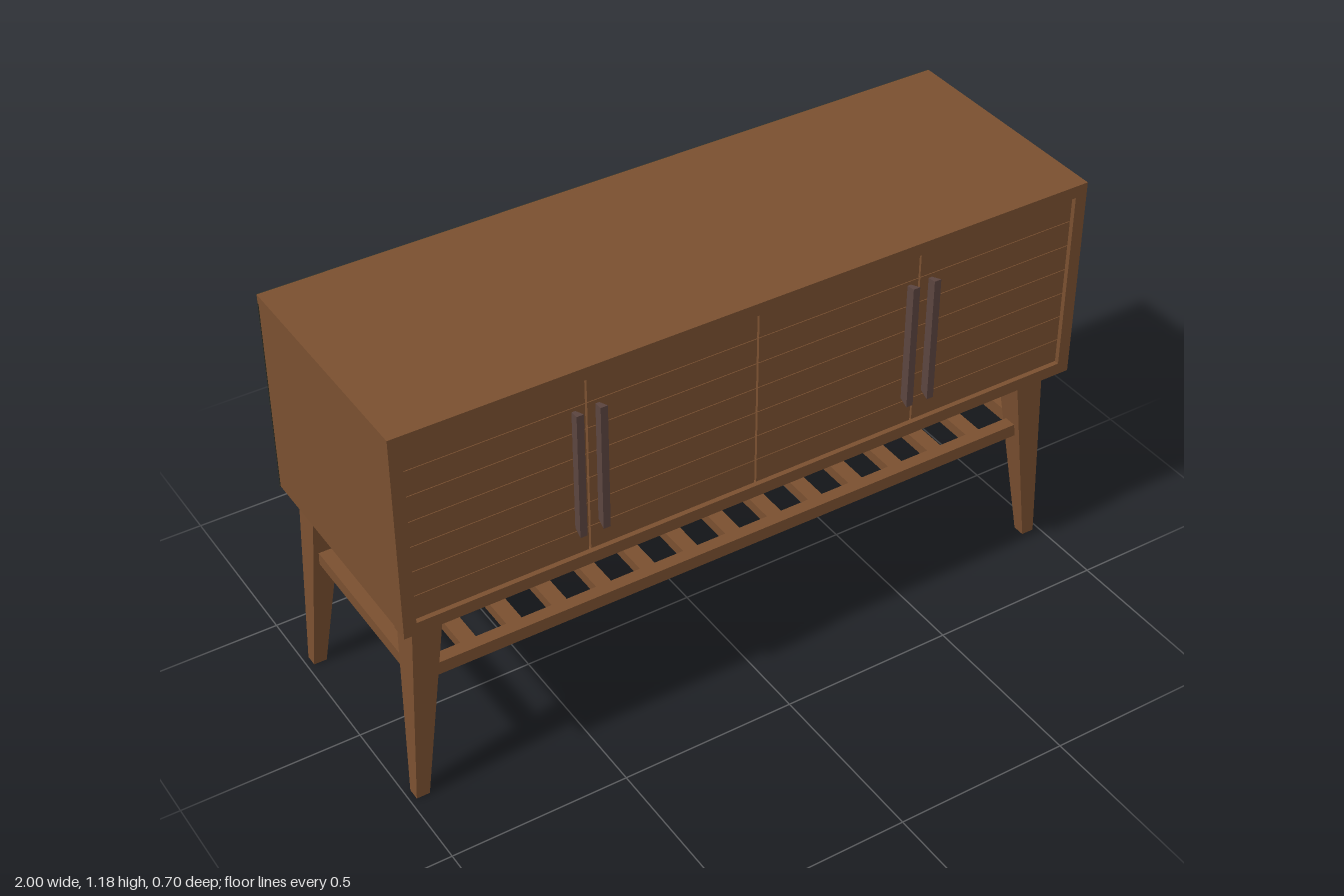
import * as THREE from 'three';

export function createModel() {
  const group = new THREE.Group();
  const material = (name, color) => {
    const m = new THREE.MeshStandardMaterial({ color });
    m.name = name;
    return m;
  };
  const wood = material('walnut wood', 0x7a5030);
  const dark = material('dark back board', 0x31332a);
  const metal = material('bronze handle', 0x5c4540);

  const add = (name, geometry, mat) => {
    const mesh = new THREE.Mesh(geometry, mat);
    mesh.name = name;
    group.add(mesh);
    return mesh;
  };
  // Box given by its minimum and maximum on each axis
  const box = (name, x0, x1, y0, y1, z0, z1, mat = wood) => {
    const g = new THREE.BoxGeometry(x1 - x0, y1 - y0, z1 - z0);
    g.translate((x0 + x1) / 2, (y0 + y1) / 2, (z0 + z1) / 2);
    return add(name, g, mat);
  };
  // Box whose vertices are moved by a rule, with flat faces
  const shaped = (name, rows, rule, mat) => {
    const g = new THREE.BoxGeometry(2, 2, 2, 1, rows, 1).toNonIndexed();
    const p = g.attributes.position;
    for (let i = 0; i < p.count; i++) p.setXYZ(i, ...rule(p.getX(i), p.getY(i), p.getZ(i)));
    g.computeVertexNormals();
    return add(name, g, mat);
  };

  // Cabinet case
  const bottom = 0.585, top = 1.178, back = -0.348, front = 0.33;
  box('cabinetBody', -0.998, 0.998, bottom + 0.002, 1.15, back, 0.28);
  box('cabinetTop', -1, 1, 1.152, top, back, 0.28);

  // Front frame with an open middle
  const frame = new THREE.Shape([[-1, bottom], [1, bottom], [1, top], [-1, top]]
    .map(([x, y]) => new THREE.Vector2(x, y)));
  frame.holes.push(new THREE.Path([[-0.965, 0.62], [-0.965, 1.143], [0.965, 1.143], [0.965, 0.62]]
    .map(([x, y]) => new THREE.Vector2(x, y))));
  const frameGeometry = new THREE.ExtrudeGeometry(frame, { depth: front - 0.28, bevelEnabled: false });
  frameGeometry.translate(0, 0, 0.28);
  add('frontFrame', frameGeometry, wood);

  // Four doors, each of seven horizontal boards
  const doorWidth = 1.93 / 4, boardHeight = 0.523 / 7;
  for (let d = 0; d < 4; d++) {
    const x = -0.965 + d * doorWidth;
    for (let b = 0; b < 7; b++) {
      const y = 0.62 + b * boardHeight;
      const gap = b === 0 ? 0.004 : 0.001;
      box('doorBoard', x + 0.003, x + doorWidth - 0.003,
        y + gap, y + boardHeight - (b === 6 ? 0.004 : 0.001), 0.28, 0.32);
    }
  }

  // Handles flare outward from the doors
  for (const x of [-0.517, -0.452, 0.452, 0.517]) {
    shaped('handle', 1, (sx, sy, sz) => {
      const outer = sz > 0;
      return [x + sx * (outer ? 0.01 : 0.005), 0.8825 + sy * (outer ? 0.183 : 0.174), outer ? 0.352 : 0.318];
    }, metal);
  }

  // Back board and its raised panel
  box('backBoard', -1, 1, bottom, top, -0.35, back, dark);
  box('backPanel', -0.968, 0.968, 0.615, 1.148, -0.353, -0.35, dark);

  // Tapered legs, straight beside the apron
  const midZ = -0.03;
  for (const sideX of [-1, 1]) {
    for (const sideZ of [-1, 1]) {
      shaped('leg', 2, (sx, sy, sz) => {
        const level = Math.round(sy) + 1;
        const y = [0, 0.53, bottom][level];
        const x = sx === sideX ? [0.982, 0.957, 0.955][level] : [0.945, 0.876, 0.874][level];
        const z = sz === sideZ ? 0.31 : [0.275, 0.228, 0.225][level];
        return [sideX * x, y, midZ + sideZ * z];
      }, wood);
    }
  }

  // Apron and shelf rails between the legs
  for (const s of [-1, 1]) {
    const z = midZ + s * 0.272;
    box('longApron', -0.88, 0.88, 0.54, bottom, z - 0.018, z + 0.018);
    box('longShelfRail', -0.91, 0.91, 0.36, 0.398, z - 0.018, z + 0.018);
    box('sideApron', s * 0.915 - 0.018, s * 0.915 + 0.018, 0.54, bottom, midZ - 0.235, midZ + 0.235);
    box('sideShelfRail', s * 0.93 - 0.018, s * 0.93 + 0.018, 0.36, 0.398, midZ - 0.25, midZ + 0.25);
  }

  // Shelf slats
  for (let i = 0; i < 13; i++) {
    const x = (i - 6) * 0.13;
    box('shelfSlat', x - 0.022, x + 0.022, 0.364, 0.394, midZ - 0.256, midZ + 0.256);
  }
  return group;
}
